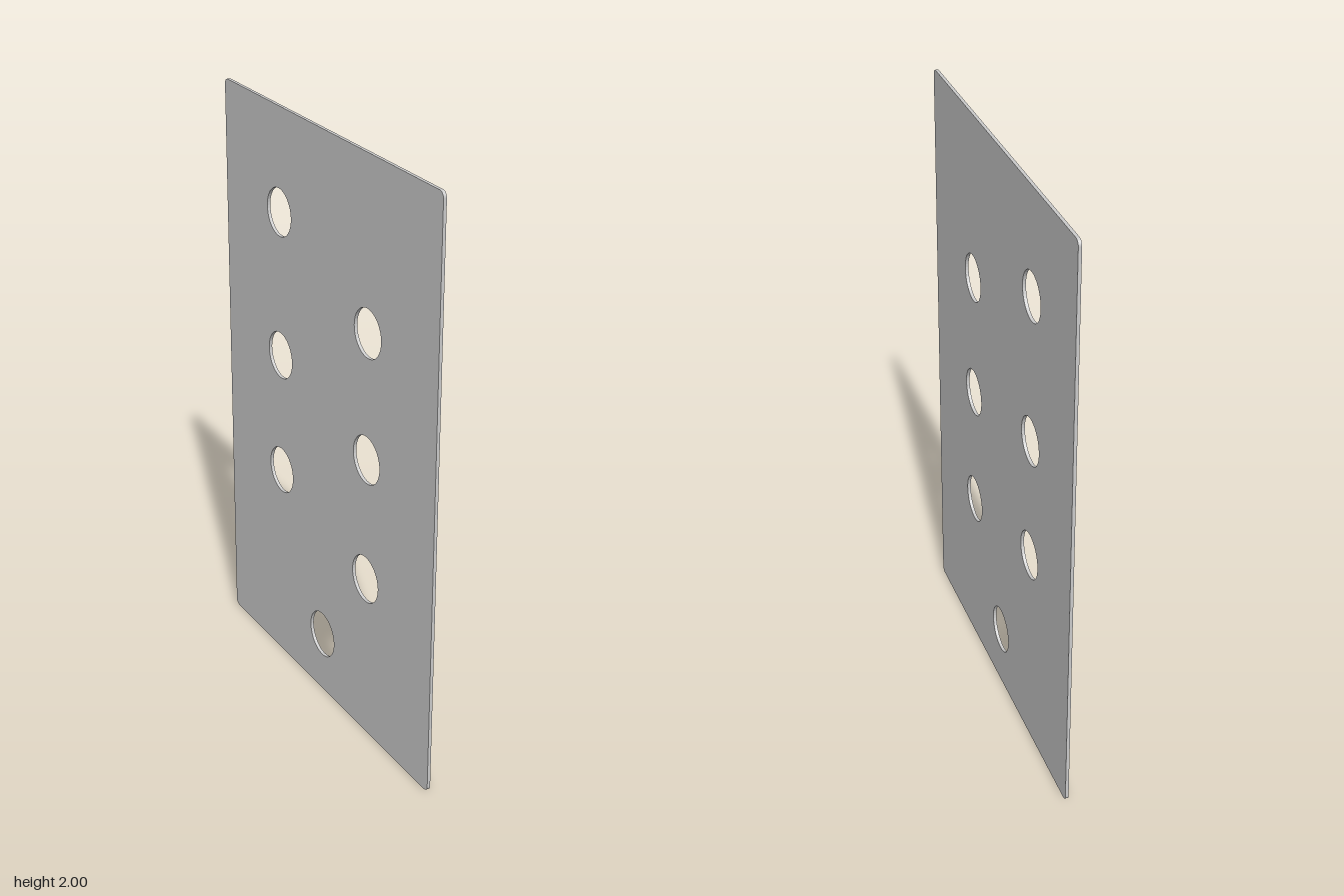
import * as THREE from 'three';

const W = 1.347, H = 2, T = 0.011, R = 0.02, HOLE = 0.081;

// Hole centres: across the plate, height
const HOLES = [
  ...[1.647, 1.147, 0.72].map(y => [-0.3, y]),
  ...[1.433, 1.005, 0.577].map(y => [0.27, y]),
  [-0.015, 0.217],
];

// Rectangle outline with small rounded corners
function plateShape() {
  const s = new THREE.Shape(), w = W / 2;
  s.absarc(w - R, R, R, -Math.PI / 2, 0);
  s.absarc(w - R, H - R, R, 0, Math.PI / 2);
  s.absarc(-w + R, H - R, R, Math.PI / 2, Math.PI);
  s.absarc(-w + R, R, R, Math.PI, Math.PI * 1.5);
  s.closePath();
  for (const [x, y] of HOLES) {
    s.holes.push(new THREE.Path().absarc(x, y, HOLE, 0, Math.PI * 2, true));
  }
  return s;
}

export function createModel() {
  const group = new THREE.Group();
  group.name = 'perforatedPanel';

  // Thin upright plate, turned about the vertical axis
  const geometry = new THREE.ExtrudeGeometry(plateShape(), {
    depth: T, bevelEnabled: false, curveSegments: 24,
  });
  geometry.translate(0, 0, -T / 2);
  const plate = new THREE.Mesh(geometry, new THREE.MeshStandardMaterial({ color: 0xcccccc }));
  plate.name = 'plate';
  plate.rotation.y = -Math.atan(0.5);
  group.add(plate);
  return group;
}
